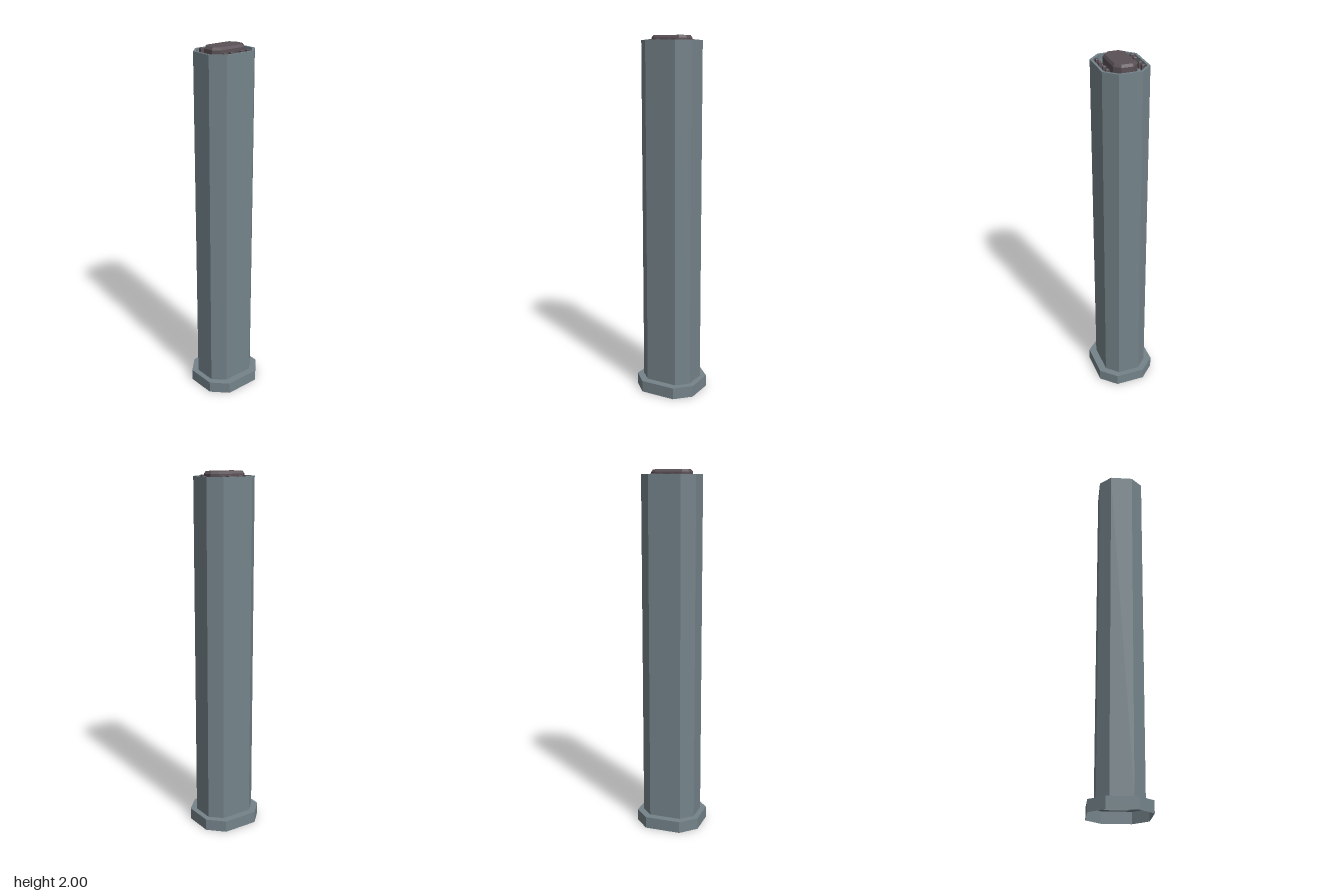
import * as THREE from 'three';

const shellMat = new THREE.MeshStandardMaterial({ color: 0x74838a, flatShading: true, side: THREE.DoubleSide });
const darkMat = new THREE.MeshStandardMaterial({ color: 0x5a5156, flatShading: true });

// Chamfered rectangle ring: half width, half depth, chamfer in x and z, height
function ring(w, d, cx, cz, y) {
  return [
    [w, d - cz], [w - cx, d], [cx - w, d], [-w, d - cz],
    [-w, cz - d], [cx - w, -d], [w - cx, -d], [w, cz - d],
  ].map(([x, z]) => [x, y, z]);
}

// Joins rings in order (outside going up), optionally closing the last one with a flat face
function loft(rings, closeTop) {
  const pos = [];
  for (let i = 0; i + 1 < rings.length; i++) {
    const a = rings[i], b = rings[i + 1];
    for (let j = 0; j < 8; j++) {
      const k = (j + 1) % 8;
      pos.push(...a[j], ...b[j], ...b[k], ...a[j], ...b[k], ...a[k]);
    }
  }
  if (closeTop) {
    const t = rings[rings.length - 1];
    for (let j = 1; j < 7; j++) pos.push(...t[0], ...t[j + 1], ...t[j]);
  }
  const geo = new THREE.BufferGeometry();
  geo.setAttribute('position', new THREE.Float32BufferAttribute(pos, 3));
  geo.computeVertexNormals();
  return geo;
}

function add(parent, name, geo, mat) {
  const mesh = new THREE.Mesh(geo, mat);
  mesh.name = name;
  parent.add(mesh);
  return mesh;
}

export function createModel() {
  const model = new THREE.Group();
  model.name = 'pillar';
  const foot = 0.065, rim = 1.975, floor = 1.945;

  // Hollow plinth, open underneath, with a flat ledge up to the column
  add(model, 'plinth', loft([
    ring(0.167, 0.183, 0.084, 0.082, 0),
    ring(0.167, 0.183, 0.084, 0.082, foot),
    ring(0.125, 0.153, 0.063, 0.063, foot),
  ], false), shellMat);

  // Hollow column with a thin rim and a recessed top
  add(model, 'column', loft([
    ring(0.125, 0.153, 0.063, 0.063, foot),
    ring(0.125, 0.153, 0.063, 0.063, rim),
    ring(0.112, 0.141, 0.056, 0.055, rim),
    ring(0.112, 0.141, 0.056, 0.055, floor),
  ], true), shellMat);

  // Bevelled cap standing in the recess
  add(model, 'cap', loft([
    ring(0.062, 0.107, 0.031, 0.031, floor),
    ring(0.062, 0.107, 0.031, 0.031, 1.987),
    ring(0.053, 0.098, 0.025, 0.025, 2),
  ], true), darkMat);

  // Small studs in a row on each side of the cap
  const studs = new THREE.Group();
  studs.name = 'studs';
  model.add(studs);
  for (const x of [-0.092, 0.092]) {
    for (const z of [-0.075, -0.033, 0.033, 0.075]) {
      const stud = add(studs, 'stud', loft([
        ring(0.009, 0.01, 0.001, 0.001, floor),
        ring(0.009, 0.01, 0.001, 0.001, 1.977),
        ring(0.007, 0.008, 0.001, 0.001, 1.98),
      ], true), darkMat);
      stud.position.set(x, 0, z);
    }
  }
  return model;
}
